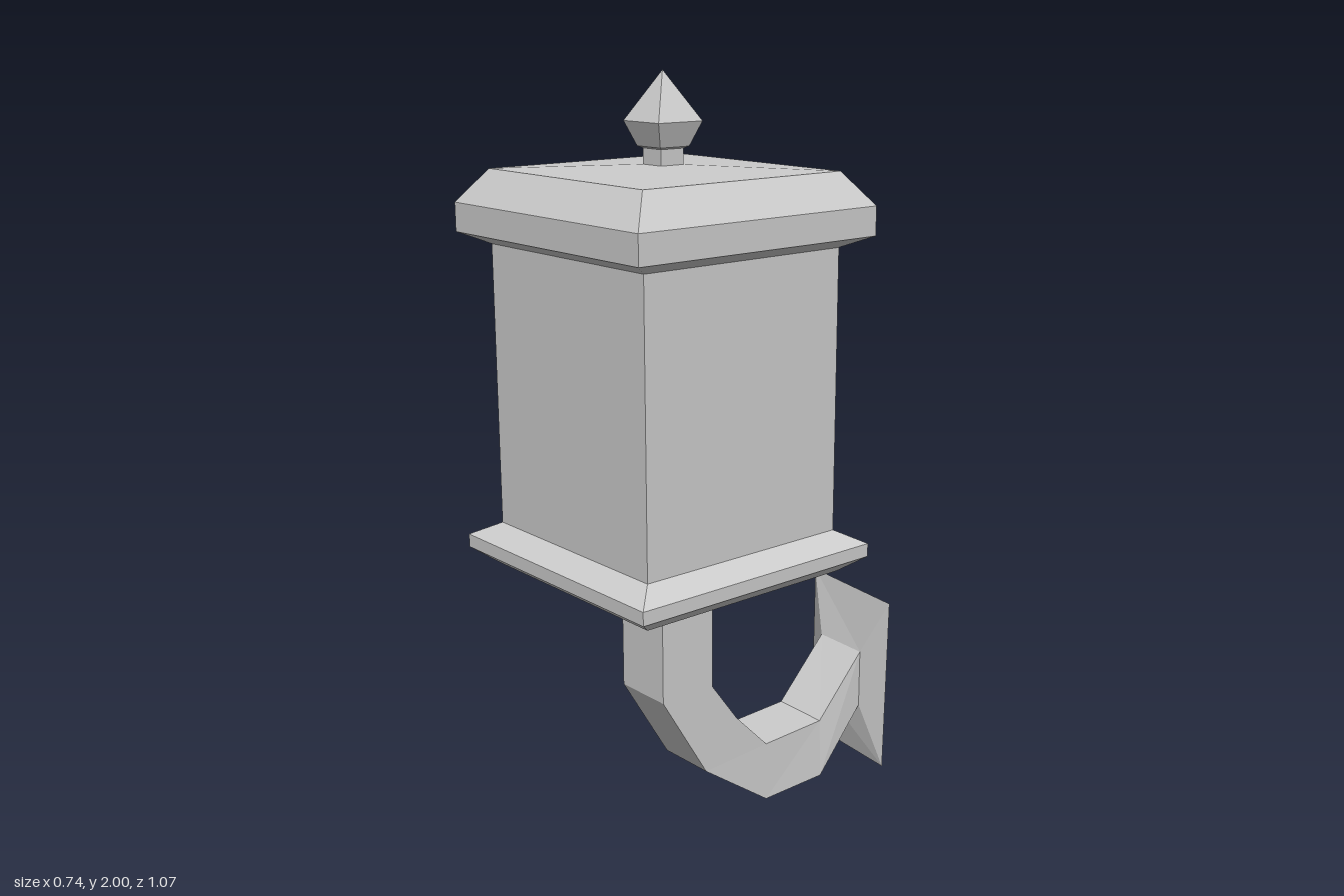
import * as THREE from 'three';

const material = new THREE.MeshStandardMaterial({ color: 0xcccccc, flatShading: true });
const LAMP_Z = 0.168;

// Square turned part from [half-width, height] points
function squarePart(name, profile) {
  const points = profile.map(([w, y]) => new THREE.Vector2(w * Math.SQRT2, y));
  const mesh = new THREE.Mesh(new THREE.LatheGeometry(points, 4, Math.PI / 4), material);
  mesh.name = name;
  mesh.position.z = LAMP_Z;
  return mesh;
}

// Loft four-cornered sections; optionally close the last one
function loft(name, sections, capEnd) {
  const positions = [];
  const quad = (a, b, c, d) => positions.push(...a, ...b, ...c, ...a, ...c, ...d);
  for (let i = 0; i < sections.length - 1; i++) {
    const s = sections[i], t = sections[i + 1];
    for (let j = 0; j < 4; j++) {
      const k = (j + 1) % 4;
      quad(s[j], t[j], t[k], s[k]);
    }
  }
  if (capEnd) {
    const [a, b, c, d] = sections[sections.length - 1];
    quad(a, d, c, b);
  }
  const geometry = new THREE.BufferGeometry();
  geometry.setAttribute('position', new THREE.Float32BufferAttribute(positions, 3));
  geometry.computeVertexNormals();
  const mesh = new THREE.Mesh(geometry, material);
  mesh.name = name;
  return mesh;
}

// Arm section: outer and inner [y, z], with a small sideways twist
const section = ([oy, oz], [iy, iz], outerShift = 0, innerShift = 0, skew = 0) => [
  [-0.084 + outerShift, oy, oz - skew],
  [0.084 + outerShift, oy, oz + skew],
  [0.084 + innerShift, iy, iz + skew],
  [-0.084 + innerShift, iy, iz - skew],
];

export function createModel() {
  const group = new THREE.Group();
  group.name = 'wallLantern';

  // Lantern housing
  group.add(
    squarePart('lanternBase', [[0.084, 0.625], [0.312, 0.738], [0.368, 0.78], [0.368, 0.815], [0.304, 0.85]]),
    squarePart('lanternBody', [[0.304, 0.85], [0.304, 1.578]]),
    squarePart('lanternRoof', [[0.304, 1.578], [0.367, 1.607], [0.367, 1.68], [0.304, 1.763], [0.035, 1.776]]),
    squarePart('finial', [[0.035, 1.77], [0.035, 1.815], [0.045, 1.82], [0.068, 1.88], [0, 2]]),
  );

  // Curved arm, slightly twisted towards the wall
  const armEnd = section([0.18, -0.482], [0.347, -0.482], 0.002, 0.002, 0.005);
  group.add(loft('bracketArm', [
    section([0.625, 0.252], [0.625, 0.084]),
    section([0.402, 0.252], [0.402, 0.084]),
    section([0.16, 0.106], [0.285, -0.002]),
    section([0.004, -0.112], [0.17, -0.115], 0.003, -0.002),
    section([0.007, -0.325], [0.174, -0.328], 0.005, -0.005, 0.003),
    armEnd,
  ]));

  // Flared wall plate
  const plate = [
    [-0.165, 0.012, -0.533], [0.168, 0.008, -0.496],
    [0.172, 0.514, -0.502], [-0.165, 0.518, -0.538],
  ];
  group.add(loft('wallPlate', [armEnd, plate], true));

  return group;
}
